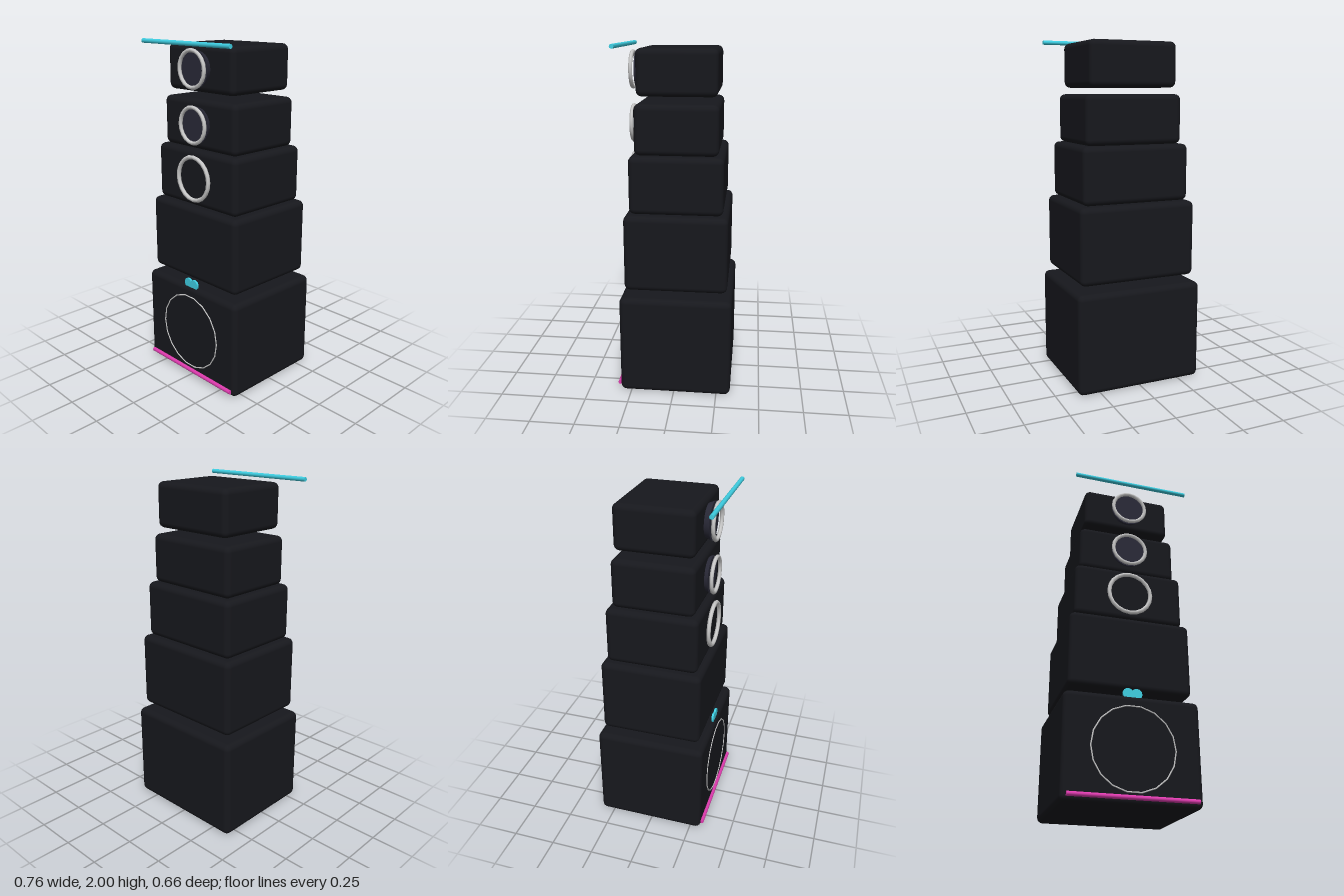
import * as THREE from 'three';
import { RoundedBoxGeometry } from 'three/addons/geometries/RoundedBoxGeometry.js';

const mat = (color) => new THREE.MeshStandardMaterial({ color });

export function createModel() {
  const group = new THREE.Group();
  const black = mat(0x17181d), silver = mat(0xcccccc), coneBlue = mat(0x2a2a38);
  const cyan = mat(0x3fd0e4), magenta = mat(0xe03cb0);

  const add = (name, geometry, material, x, y, z) => {
    const mesh = new THREE.Mesh(geometry, material);
    mesh.name = name;
    mesh.position.set(x, y, z);
    group.add(mesh);
    return mesh;
  };

  // Stacked cabinets: half width, bottom, top, back, front
  const cabinets = [
    [0.38, 0.005, 0.59, -0.331, 0.314],
    [0.352, 0.63, 1.072, -0.302, 0.286],
    [0.322, 1.075, 1.402, -0.272, 0.257],
    [0.292, 1.402, 1.683, -0.241, 0.228],
    [0.264, 1.72, 1.976, -0.231, 0.217],
  ];
  cabinets.forEach(([hw, y0, y1, z0, z1], i) => {
    add('cabinet' + (i + 1), new RoundedBoxGeometry(hw * 2, y1 - y0, z1 - z0, 3, 0.033),
      black, 0, (y0 + y1) / 2, (z0 + z1) / 2);
  });

  // Driver trim rings: centre height, radius, tube, z, segments
  const rings = [
    [0.299, 0.232, 0.004, 0.315, 18],
    [0.85, 0.19, 0.0125, 0.2708, 18],
    [1.24, 0.125, 0.0125, 0.27, 20],
    [1.545, 0.1, 0.0115, 0.27, 20],
    [1.85, 0.1, 0.0115, 0.27, 20],
  ];
  rings.forEach(([y, r, tube, z, n], i) => {
    add('driverRing' + (i + 1), new THREE.TorusGeometry(r, tube, 6, n), silver, 0, y, z);
  });

  // Speaker cones standing proud of the two upper cabinets
  for (const y of [1.545, 1.85]) {
    const cone = add('speakerCone', new THREE.CylinderGeometry(0.106, 0.086, 0.05, 20), coneBlue, 0, y, 0.225);
    cone.rotation.x = Math.PI / 2;
  }

  // Light tubes along the top and bottom front edges
  const tubeGeometry = new THREE.CylinderGeometry(0.0125, 0.0125, 0.704, 8);
  add('topLightTube', tubeGeometry, cyan, 0, 1.9875, 0.32).rotation.z = Math.PI / 2;
  add('bottomLightTube', tubeGeometry, magenta, 0, 0.042, 0.32).rotation.z = Math.PI / 2;

  // Small heart-shaped badge tucked between the two lower cabinets
  const heart = new THREE.Shape();
  heart.moveTo(0, 0.018);
  heart.bezierCurveTo(0.008, 0.04, 0.055, 0.038, 0.055, 0.002);
  heart.bezierCurveTo(0.055, -0.025, 0.02, -0.04, 0, -0.06);
  heart.bezierCurveTo(-0.02, -0.04, -0.055, -0.025, -0.055, 0.002);
  heart.bezierCurveTo(-0.055, 0.038, -0.008, 0.04, 0, 0.018);
  add('heartBadge', new THREE.ExtrudeGeometry(heart, { depth: 0.012, bevelEnabled: false, curveSegments: 8 }),
    cyan, 0, 0.602, 0.289);

  return group;
}
